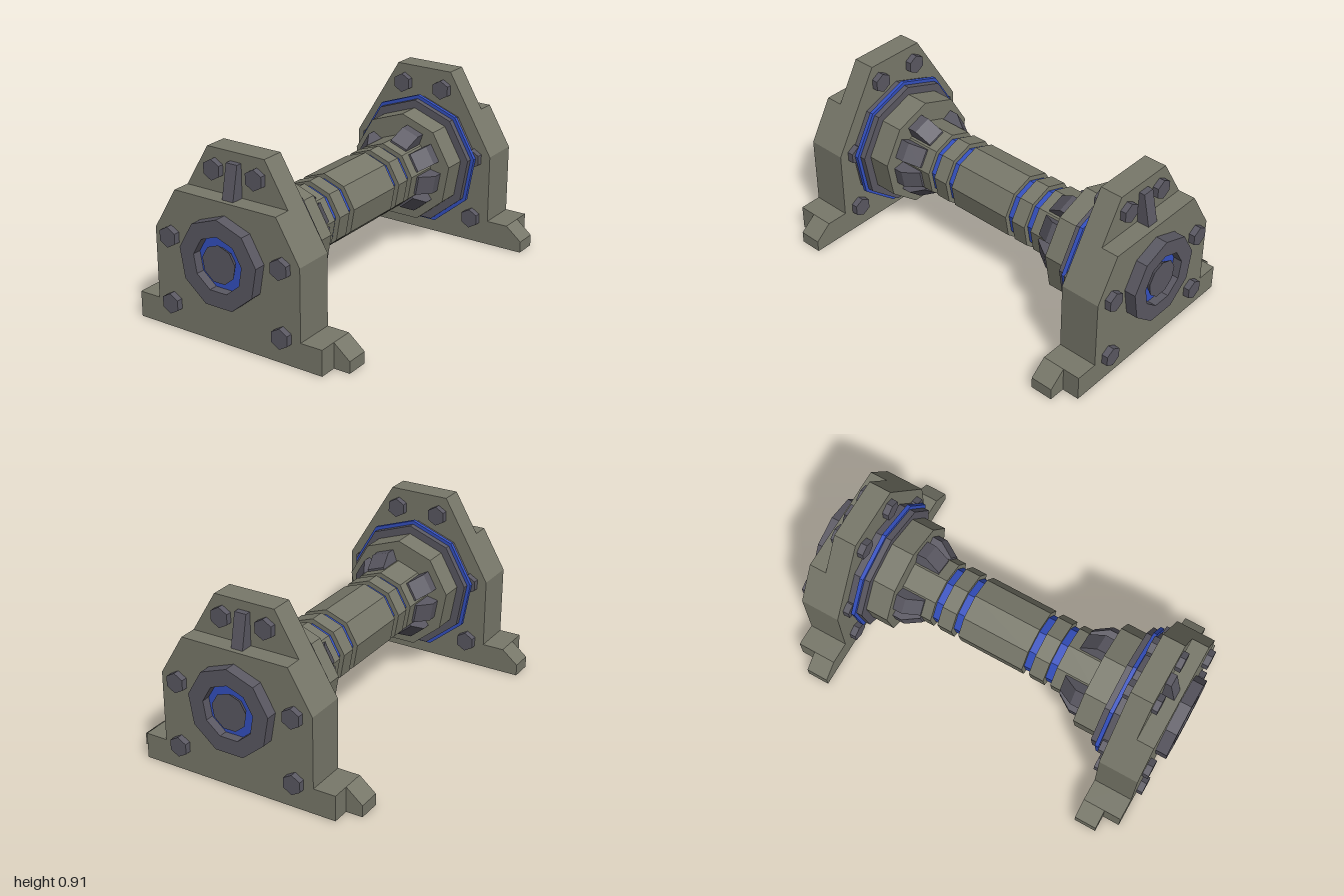
import * as THREE from 'three';

const AXIS_Y = 0.42;
const SIDES = 9;
const material = (color) => new THREE.MeshStandardMaterial({ color, flatShading: true });

export function createModel() {
  const olive = material(0x78786a);
  const steel = material(0x5a5862);
  const blue = material(0x3450c0);
  const model = new THREE.Group();
  model.name = 'supportedShaft';

  const add = (parent, name, geometry, mat) => {
    const mesh = new THREE.Mesh(geometry, mat);
    mesh.name = name;
    parent.add(mesh);
    return mesh;
  };
  const shapeOf = (points) => new THREE.Shape(points.map(([x, y]) => new THREE.Vector2(x, y)));
  const polygon = (radius) => Array.from({ length: SIDES }, (_, i) => {
    const a = (i / SIDES) * Math.PI * 2;
    return [radius * Math.sin(-a), radius * Math.cos(a)];
  });
  // Slab between z0 and z1 with an outline in x and y
  const slab = (shape, z0, z1) =>
    new THREE.ExtrudeGeometry(shape, { depth: z1 - z0, bevelEnabled: false }).translate(0, 0, z0);
  // Rib of a given width across x, with an outline in z and y
  const rib = (points, width) =>
    new THREE.ExtrudeGeometry(shapeOf(points), { depth: width, bevelEnabled: false })
      .translate(0, 0, -width / 2).rotateY(-Math.PI / 2);
  // Prism along z with one corner pointing up; r1 is the radius at z1
  const prism = (r0, z0, z1, sides = SIDES, r1 = r0) =>
    new THREE.CylinderGeometry(r0, r1, z1 - z0, sides).rotateX(-Math.PI / 2)
      .translate(0, 0, (z0 + z1) / 2);
  const mirrored = (half) => [...half, ...half.map(([x, y]) => [-x, y]).reverse()];

  // Shaft with grooves and blue bands
  const shaft = new THREE.Group();
  shaft.name = 'shaft';
  shaft.position.y = AXIS_Y;
  model.add(shaft);
  add(shaft, 'shaftMiddle', prism(0.18, -0.18, 0.18), olive);
  for (const s of [-1, 1]) {
    const section = (name, r, z0, z1, mat) =>
      add(shaft, name, prism(r, Math.min(s * z0, s * z1), Math.max(s * z0, s * z1)), mat);
    section('innerBand', 0.155, 0.18, 0.22, blue);
    section('shaftCollar', 0.18, 0.22, 0.30, olive);
    section('outerBand', 0.155, 0.30, 0.34, blue);
    section('shaftEnd', 0.18, 0.34, 0.53, olive);
  }

  function endSupport(name, finSign) {
    const end = new THREE.Group();
    end.name = name;

    // Two-layer bearing plate: the inner layer carries the peak and the foot tips
    const inner = mirrored([[0.61, 0], [0.61, 0.06], [0.525, 0.13], [0.41, 0.13], [0.41, 0.49], [0.16, 0.91]]);
    const outer = mirrored([[0.525, 0], [0.525, 0.13], [0.41, 0.13], [0.41, 0.49], [0.285, 0.70]]);
    add(end, 'innerPlate', slab(shapeOf(inner), 0.733, 0.85), olive);
    add(end, 'outerPlate', slab(shapeOf(outer), 0.85, 0.94), olive);
    add(end, 'gusset', rib([[0.84, 0.70], [0.915, 0.70], [0.88, 0.865], [0.84, 0.865]], 0.062), steel);

    // Hexagonal bolts running through the plate
    for (const [x, y, z] of [[0.315, 0.47, 0.972], [0.315, 0.135, 0.972], [0.118, 0.812, 0.88]]) {
      for (const s of [-1, 1]) {
        add(end, 'bolt', prism(0.051, 0.70, z, 6), steel).position.set(s * x, y, 0);
      }
    }

    const bearing = new THREE.Group();
    bearing.name = 'bearing';
    bearing.position.y = AXIS_Y;
    end.add(bearing);

    // Outer bearing ring, recessed seal and shaft tip
    const ring = shapeOf(polygon(0.22));
    ring.holes.push(new THREE.Path(polygon(0.138).reverse().map(([x, y]) => new THREE.Vector2(x, y))));
    add(bearing, 'bearingRing', slab(ring, 0.93, 1), steel);
    add(bearing, 'seal', prism(0.14, 0.93, 0.955), blue);
    add(bearing, 'shaftTip', prism(0.067, 0.95, 0.99, SIDES, 0.095), steel);

    // Stepped flange on the shaft side
    add(bearing, 'flange', prism(0.333, 0.645, 0.74), steel);
    add(bearing, 'flangeBand', prism(0.352, 0.675, 0.695), blue);
    add(bearing, 'hub', prism(0.29, 0.525, 0.65), olive);

    // Tapered fins around the hub
    for (const degrees of [20, 60, 100, 140, 220, 260, 300]) {
      const fin = rib([[0.53, 0.15], [0.53, 0.232], [0.475, 0.232], [0.395, 0.18], [0.395, 0.15]].reverse(), 0.1);
      add(bearing, 'fin', fin, steel).rotation.z = -finSign * THREE.MathUtils.degToRad(degrees);
    }
    model.add(end);
    return end;
  }

  endSupport('frontSupport', 1);
  endSupport('backSupport', -1).rotation.y = Math.PI;
  return model;
}
